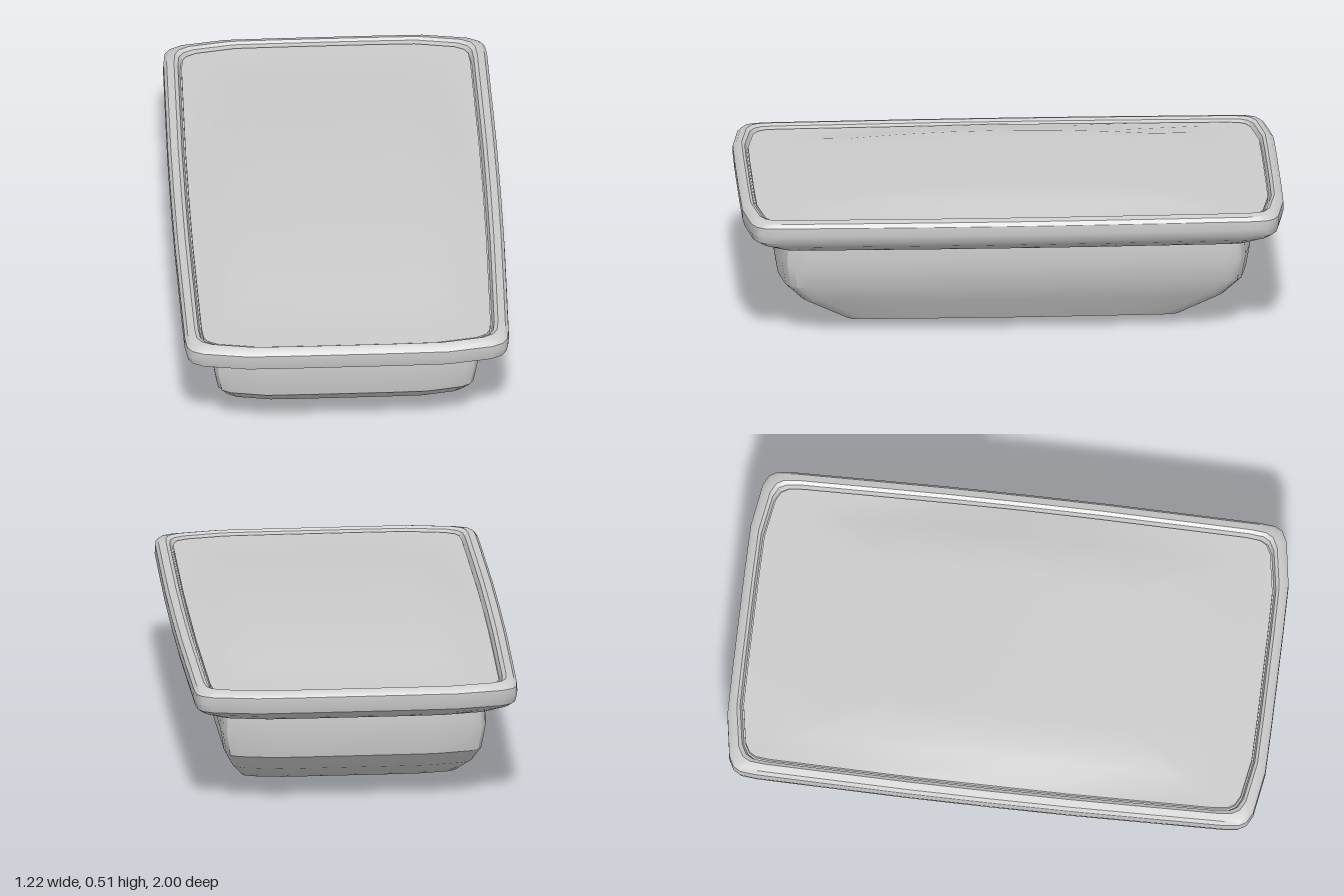
import * as THREE from 'three';
import { toCreasedNormals } from 'three/addons/utils/BufferGeometryUtils.js';

const material = new THREE.MeshStandardMaterial({ color: 0xcccccc });

// Quarter of the softly bulged rectangular outline, from +z round to +x
const QUARTER = [[0, 1], [0.3, 1], [0.61, 0.998], [0.88, 0.972], [0.945, 0.952],
  [0.972, 0.925], [0.982, 0.87], [0.99, 0.6], [0.998, 0.3], [1, 0]];

function makeOutline() {
  const half = [...QUARTER, ...QUARTER.slice(0, -1).reverse().map(([x, z]) => [x, -z])];
  return [...half, ...half.slice(1, -1).reverse().map(([x, z]) => [-x, z])];
}
const OUTLINE = makeOutline();

// Skin through scaled outlines; each ring is [half width, half length, y or y(x, z)]
function loft(name, rings, crease) {
  const n = OUTLINE.length, positions = [], index = [];
  for (const [hx, hz, y] of rings) {
    for (const [u, v] of OUTLINE) {
      const x = u * hx, z = v * hz;
      positions.push(x, typeof y === 'function' ? y(x, z) : y, z);
    }
  }
  for (let i = 0; i < rings.length - 1; i++) {
    for (let j = 0; j < n; j++) {
      const a = i * n + j, b = i * n + (j + 1) % n;
      if (rings[i][0] > 0) index.push(a, b, b + n);
      if (rings[i + 1][0] > 0) index.push(a, b + n, a + n);
    }
  }
  const geometry = new THREE.BufferGeometry();
  geometry.setAttribute('position', new THREE.Float32BufferAttribute(positions, 3));
  geometry.setIndex(index);
  const mesh = new THREE.Mesh(toCreasedNormals(geometry, crease), material);
  mesh.name = name;
  return mesh;
}

export function createModel() {
  const group = new THREE.Group();
  group.name = 'coveredTray';

  // Basin: shallow pointed underside, sloping lower walls, upright upper walls
  group.add(loft('basin', [
    [0, 0, 0],
    [0.2, 0.32, 0.022],
    [0.41, 0.64, 0.042],
    [0.455, 0.8, 0.125],
    [0.485, 0.865, 0.19],
    [0.5, 0.88, 0.28],
    [0.495, 0.875, 0.36],
  ], 0.5));

  // Overhanging rim with a rounded lip and a narrow inner groove
  group.add(loft('rim', [
    [0.47, 0.85, 0.35],
    [0.525, 0.9, 0.35],
    [0.585, 0.965, 0.383],
    [0.603, 0.993, 0.402],
    [0.61, 1, 0.43],
    [0.608, 1, 0.463],
    [0.597, 0.988, 0.477],
    [0.57, 0.968, 0.484],
    [0.556, 0.957, 0.476],
    [0.548, 0.95, 0.452],
    [0.54, 0.942, 0.452],
  ], 0.6));

  // Gently domed lid panel set inside the rim
  const dome = (x, z) =>
    0.508 - Math.min(0.04, 0.063 * z * z + 0.2 * Math.max(0, Math.abs(x) - 0.36));
  const lidRings = [1, 0.93, 0.8, 0.67, 0.5, 0.35, 0.17, 0].map((s) => [0.543 * s, 0.945 * s, dome]);
  group.add(loft('lid', [[0.543, 0.945, 0.445], ...lidRings], 0.6));

  return group;
}
